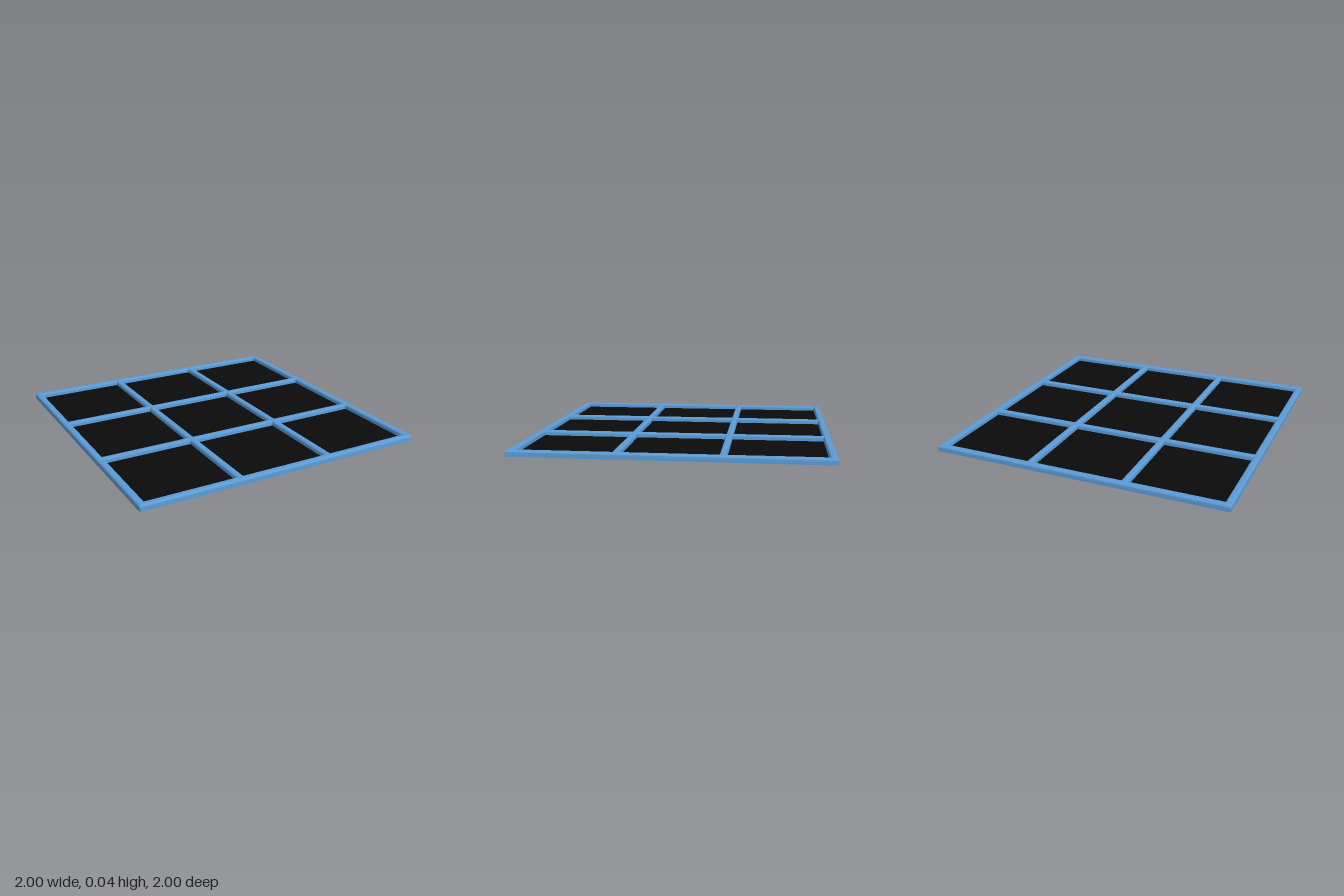
import * as THREE from 'three';
import { toCreasedNormals } from 'three/addons/utils/BufferGeometryUtils.js';

const HEIGHT = 0.04, BEVEL = 0.014, PITCH = 0.65, CELL = 0.605, FLOOR = 0.008;

// Square outline around a centre
function square(path, cx, cy, size) {
  const h = size / 2;
  path.moveTo(cx - h, cy - h);
  path.lineTo(cx + h, cy - h);
  path.lineTo(cx + h, cy + h);
  path.lineTo(cx - h, cy + h);
  path.closePath();
  return path;
}

export function createModel() {
  const model = new THREE.Group();
  model.name = 'gridTray';
  const blue = new THREE.MeshStandardMaterial({ color: 0x5b9bd5 });
  const black = new THREE.MeshStandardMaterial({ color: 0x0a0a0a });

  const add = (name, geometry, material, x = 0, y = 0, z = 0) => {
    const mesh = new THREE.Mesh(geometry, material);
    mesh.name = name;
    mesh.position.set(x, y, z);
    model.add(mesh);
  };

  // Lattice frame with nine openings and rounded upper edges
  const outline = square(new THREE.Shape(), 0, 0, 2);
  const steps = [-PITCH, 0, PITCH];
  for (const x of steps) for (const z of steps) {
    outline.holes.push(square(new THREE.Path(), x, z, CELL));
  }
  let frame = new THREE.ExtrudeGeometry(outline, {
    depth: HEIGHT - BEVEL, bevelThickness: BEVEL, bevelSize: BEVEL,
    bevelOffset: -BEVEL, bevelSegments: 4,
  });
  // Flatten the lower bevel so the underside is square
  const pos = frame.attributes.position;
  for (let i = 0; i < pos.count; i++) pos.setZ(i, Math.max(0, pos.getZ(i)));
  frame.rotateX(-Math.PI / 2);
  frame.computeVertexNormals();
  frame = toCreasedNormals(frame, Math.PI / 6);
  add('latticeFrame', frame, blue);

  // Thin base closing the underside
  const thick = FLOOR / 2;
  add('basePlate', new THREE.BoxGeometry(1.96, thick, 1.96), blue, 0, thick / 2, 0);

  // Dark floor in every compartment
  for (const x of steps) for (const z of steps) {
    add('compartmentFloor', new THREE.BoxGeometry(CELL, thick, CELL), black, x, FLOOR - thick / 2, z);
  }
  return model;
}
